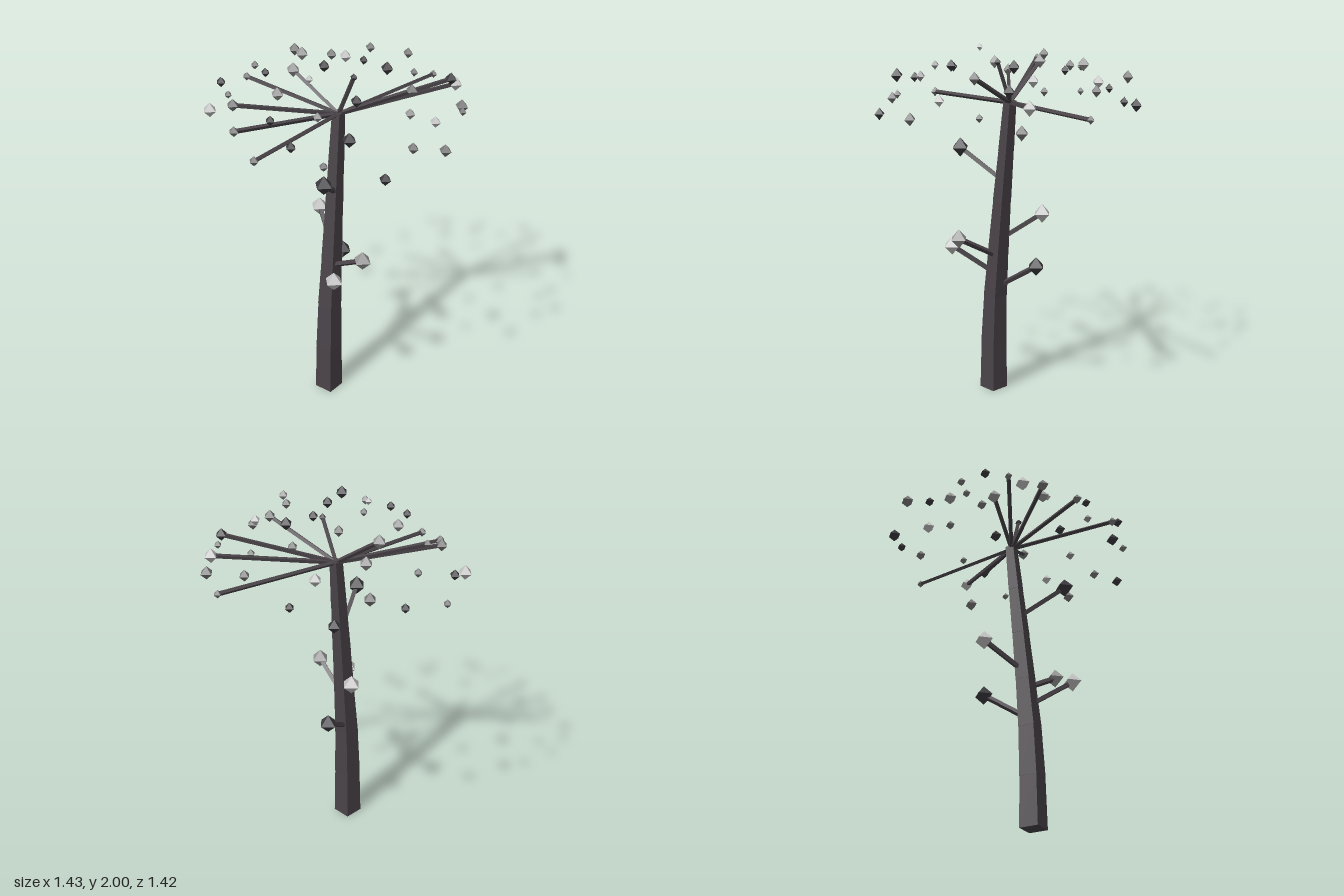
import * as THREE from 'three';

const mat = (name, color) => {
  const m = new THREE.MeshStandardMaterial({ color, flatShading: true });
  m.name = name;
  return m;
};

// Leaf clusters by colour: x, y, z, radius
const lightLeaves = [
  [-0.273, 1.83, -0.38, 0.038], [0.372, 1.788, -0.514, 0.042], [-0.572, 1.705, 0.415, 0.042],
  [0.557, 1.787, -0.046, 0.032], [-0.008, 1.978, 0.265, 0.022],
  [-0.196, 1.05, -0.041, 0.055], [0.177, 0.863, 0.308, 0.055],
];
const paleLeaves = [
  [-0.28, 1.895, 0.067, 0.042], [-0.173, 1.873, 0.324, 0.038], [0.526, 1.89, 0.138, 0.03],
  [0.177, 1.88, 0.432, 0.027], [-0.4, 1.887, -0.152, 0.04], [0.257, 0.95, 0.158, 0.055],
];
const greyLeaves = [
  [0.115, 1.72, -0.687, 0.024], [-0.008, 1.84, -0.61, 0.032], [-0.082, 1.937, -0.353, 0.03],
  [0.169, 1.835, -0.413, 0.025], [0.422, 1.67, -0.51, 0.04], [0.54, 1.735, -0.33, 0.024],
  [-0.587, 1.815, -0.315, 0.038], [-0.148, 1.963, -0.094, 0.032], [0.368, 1.888, -0.104, 0.036],
  [0.68, 1.697, 0.042, 0.036], [-0.58, 1.835, 0.035, 0.026], [-0.692, 1.665, 0.14, 0.024],
  [0.626, 1.775, 0.25, 0.032], [-0.443, 1.878, 0.255, 0.024], [-0.385, 1.792, 0.436, 0.036],
  [-0.254, 1.732, 0.577, 0.03], [0.33, 1.715, 0.58, 0.026], [-0.03, 1.675, 0.681, 0.028],
];
const darkLeaves = [
  [-0.28, 1.745, -0.56, 0.028], [-0.492, 1.687, -0.463, 0.038], [0.41, 1.862, -0.407, 0.036],
  [-0.647, 1.72, -0.125, 0.028], [0.157, 1.933, -0.178, 0.038], [0.088, 1.93, 0.019, 0.022],
  [-0.654, 1.782, 0.232, 0.03], [0.25, 1.908, 0.212, 0.034], [0.583, 1.66, 0.419, 0.034],
  [-0.046, 1.835, 0.532, 0.028], [0.165, 1.788, 0.627, 0.03], [0.41, 1.843, 0.48, 0.04],
  [-0.083, 0.775, -0.108, 0.055], [0.11, 1.425, 0.304, 0.055],
];

// Crown branch tips, all reached from the top of the trunk
const crownTips = [
  [0.115, 1.72, -0.687], [0.372, 1.788, -0.514], [0.41, 1.862, -0.407], [0.368, 1.888, -0.104],
  [0.088, 1.93, 0.019], [-0.28, 1.895, 0.067], [-0.443, 1.878, 0.255], [-0.385, 1.792, 0.436],
  [-0.254, 1.732, 0.577], [-0.03, 1.675, 0.681],
];
// Side branches: start, tip
const sideBranches = [
  [[0, 1.25, 0.065], [0.11, 1.425, 0.304]],
  [[0, 0.91, 0.095], [-0.196, 1.05, -0.041]],
  [[0.01, 0.81, 0.11], [0.257, 0.95, 0.158]],
  [[0.01, 0.7, 0.12], [0.177, 0.863, 0.308]],
  [[0, 0.62, 0.125], [-0.083, 0.775, -0.108]],
];
// Trunk joints: centre x, centre z, half width
const joints = [
  [0.01, 0.145, 0.055], [0.01, 0.141, 0.052], [0.008, 0.13, 0.047], [0.005, 0.106, 0.041],
  [0.001, 0.08, 0.036], [-0.004, 0.052, 0.031], [-0.008, 0.025, 0.026],
];

export function createModel() {
  const tree = new THREE.Group();
  tree.name = 'tree';
  const bark = mat('bark', 0x4a4449);
  const add = (name, geometry, material) => {
    const m = new THREE.Mesh(geometry, material);
    m.name = name;
    tree.add(m);
    return m;
  };

  // Leaning trunk of square tapered blocks, each slightly wider than the top of the one below
  const h = 0.285;
  for (let i = 0; i < joints.length - 1; i++) {
    const [x0, z0, w0] = joints[i], [x1, z1, w1] = joints[i + 1];
    const g = new THREE.CylinderGeometry((w1 - 0.001) * Math.SQRT2, w0 * Math.SQRT2, h, 4, 1, false, Math.PI / 4);
    const p = g.attributes.position;
    for (let k = 0; k < p.count; k++) {
      const t = p.getY(k) / h + 0.5;
      p.setX(k, p.getX(k) + x0 + (x1 - x0) * t);
      p.setZ(k, p.getZ(k) + z0 + (z1 - z0) * t);
    }
    g.translate(0, (i + 0.5) * h, 0);
    g.computeVertexNormals();
    add('trunkSegment', g, bark);
  }

  // Straight square rods for branches
  const branch = (name, from, to, r) => {
    const a = new THREE.Vector3(...from), b = new THREE.Vector3(...to);
    const d = b.clone().sub(a);
    const m = add(name, new THREE.CylinderGeometry(r, r, d.length(), 4), bark);
    m.position.copy(a).add(b).multiplyScalar(0.5);
    m.quaternion.setFromUnitVectors(new THREE.Vector3(0, 1, 0), d.normalize());
  };
  for (const tip of crownTips) branch('crownBranch', [-0.008, 1.7, 0.025], tip, 0.013);
  for (const [from, tip] of sideBranches) branch('sideBranch', from, tip, 0.016);

  // Octahedral leaf clusters
  const sets = [
    [lightLeaves, mat('light leaf', 0xc4c4c4)], [paleLeaves, mat('pale leaf', 0x9a9a9a)],
    [greyLeaves, mat('grey leaf', 0x7a7a7a)], [darkLeaves, mat('dark leaf', 0x3c3a3e)],
  ];
  for (const [leaves, material] of sets) {
    for (const [x, y, z, r] of leaves) {
      add('leafCluster', new THREE.OctahedronGeometry(r), material).position.set(x, y, z);
    }
  }
  return tree;
}
